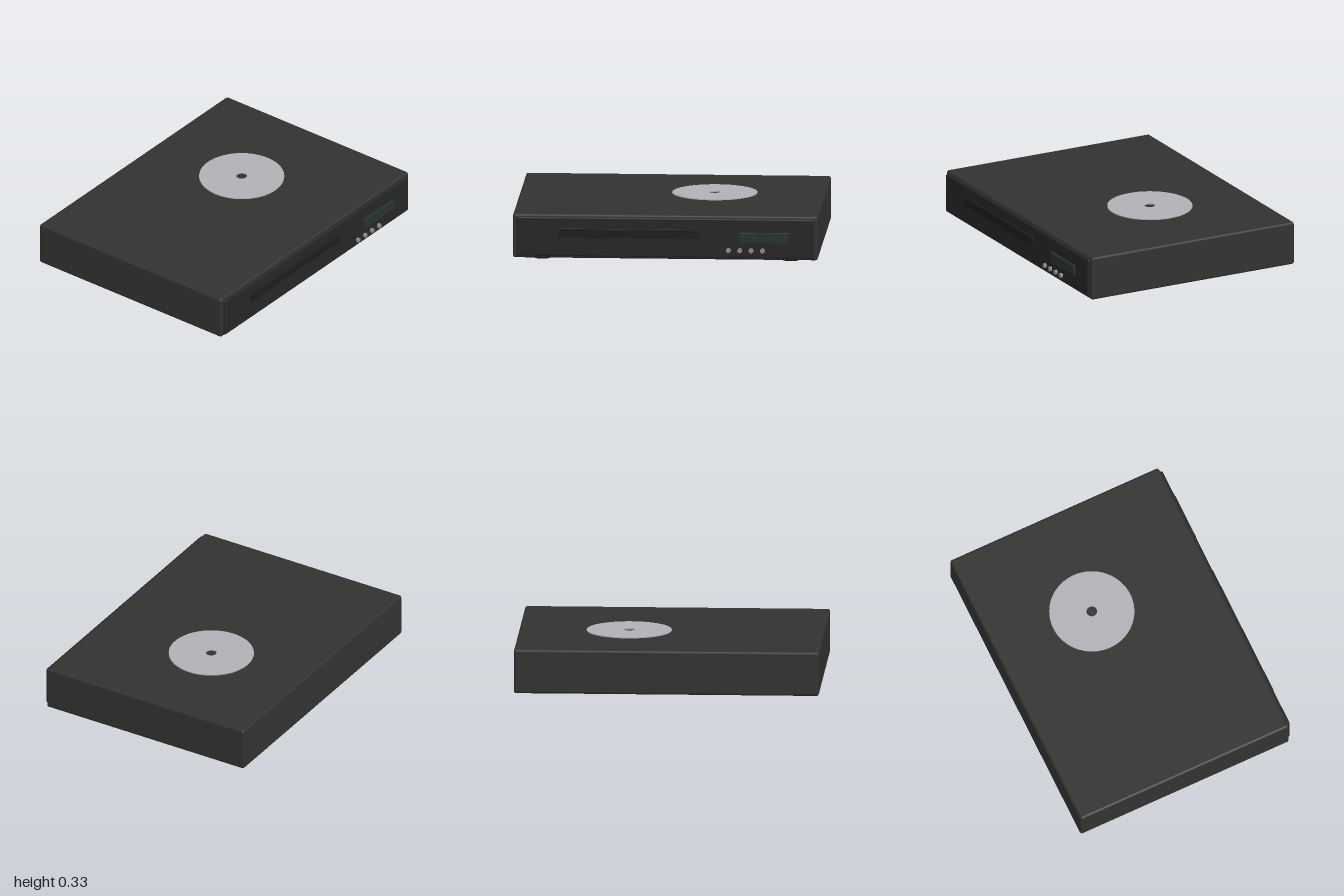
import * as THREE from 'three';
import { RoundedBoxGeometry } from 'three/addons/geometries/RoundedBoxGeometry.js';

export function createModel() {
  const group = new THREE.Group();
  const mat = (color) => new THREE.MeshStandardMaterial({ color });
  const add = (name, geometry, material, x, y, z) => {
    const mesh = new THREE.Mesh(geometry, material);
    mesh.name = name;
    mesh.position.set(x, y, z);
    group.add(mesh);
    return mesh;
  };
  // Rounded box given by its extents on each axis
  const box = (name, [x0, x1], [y0, y1], [z0, z1], radius, material) =>
    add(name, new RoundedBoxGeometry(x1 - x0, y1 - y0, z1 - z0, 3, radius), material,
      (x0 + x1) / 2, (y0 + y1) / 2, (z0 + z1) / 2);

  const caseMat = mat(0x323230);
  const panelMat = mat(0x262626);
  const trayMat = mat(0x1c1c1c);
  const displayMat = mat(0x26332f);
  const metalMat = mat(0x8c8c8c);
  const discMat = mat(0xb0b1b7);
  const footMat = mat(0x1a1a1a);

  // Case and front
  box('case', [-1, 1], [0.025, 0.317], [-0.777, 0.735], 0.016, caseMat);
  box('frontPanel', [-0.975, 0.975], [0.04, 0.3], [0.715, 0.752], 0.01, panelMat);
  box('discTray', [-0.7, 0.23], [0.17, 0.228], [0.745, 0.765], 0.004, trayMat);
  box('display', [0.488, 0.81], [0.142, 0.21], [0.745, 0.768], 0.003, displayMat);

  // Row of round buttons
  const buttonGeo = new THREE.CylinderGeometry(0.016, 0.016, 0.016, 24);
  buttonGeo.rotateX(Math.PI / 2);
  for (let i = 0; i < 4; i++) {
    add('button', buttonGeo, metalMat, 0.416 + i * 0.0745, 0.093, 0.77);
  }

  // Disc with centre hole lying on the lid
  const ring = new THREE.Shape().absarc(0, 0, 0.279, 0, Math.PI * 2);
  ring.holes.push(new THREE.Path().absarc(0, 0, 0.035, 0, Math.PI * 2, true));
  const discGeo = new THREE.ExtrudeGeometry(ring, { depth: 0.006, bevelEnabled: false, curveSegments: 48 });
  discGeo.rotateX(-Math.PI / 2);
  add('disc', discGeo, discMat, 0.277, 0.32, -0.09);

  // Feet
  const footGeo = new THREE.CylinderGeometry(0.055, 0.055, 0.03, 32);
  for (const x of [-0.815, 0.815]) {
    for (const z of [-0.545, 0.57]) add('foot', footGeo, footMat, x, 0.015, z);
  }

  return group;
}
